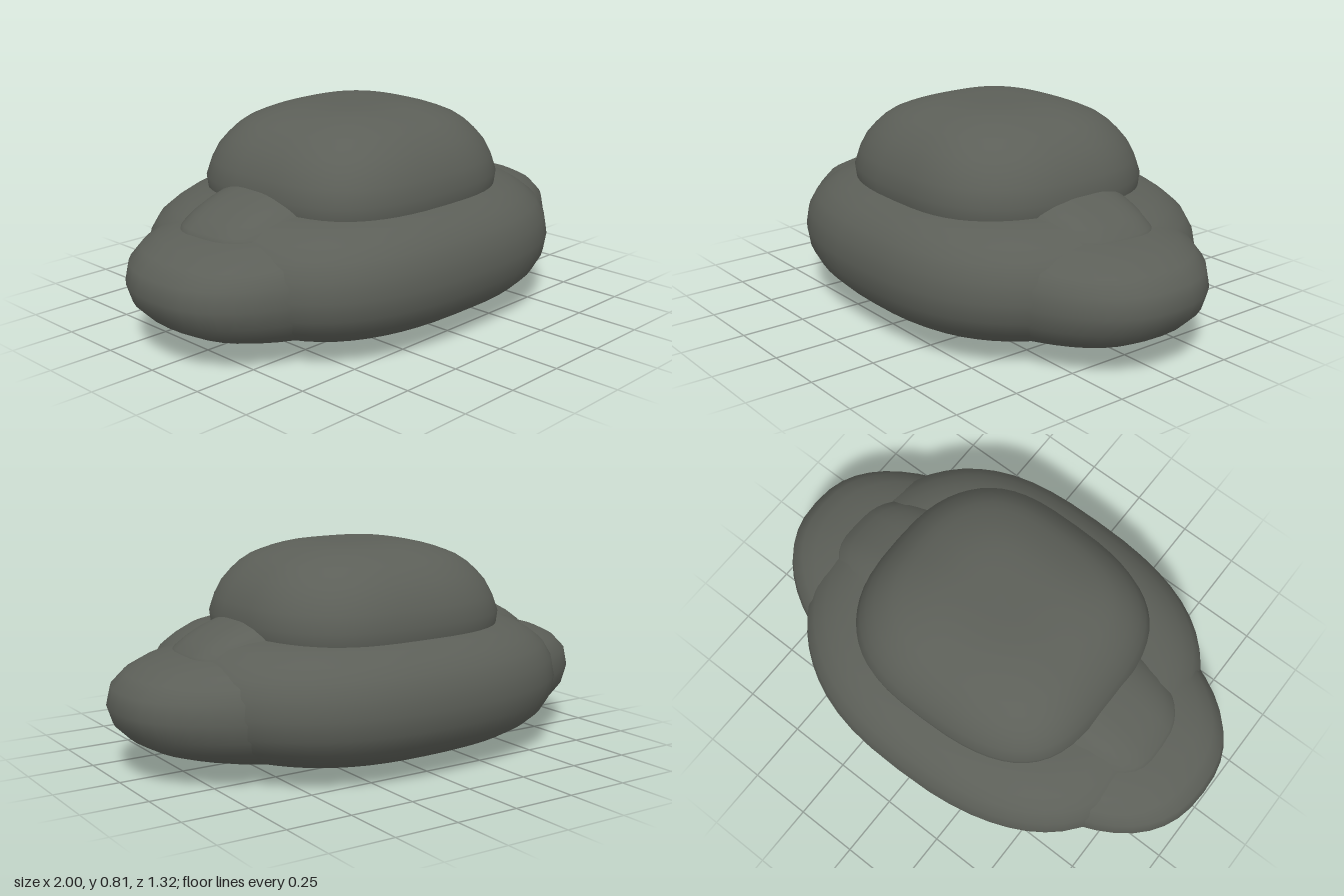
import * as THREE from 'three';

const RINGS = 30;
const SIDES = 56;

// A worn stone: a side profile [radius 0..1, height] swept round a superelliptic plan.
function stone(name, material, { a, b, n, x = 0, wobble = 0.006, phase = 0, profile }) {
  const curve = new THREE.SplineCurve(profile.map(p => new THREE.Vector2(p[0], p[1])));
  const positions = [];
  const index = [];
  for (let i = 0; i <= RINGS; i++) {
    const p = curve.getPointAt(i / RINGS);
    const r = Math.max(p.x, 0.001);
    for (let j = 0; j < SIDES; j++) {
      const t = (j / SIDES) * Math.PI * 2;
      const c = Math.cos(t), s = Math.sin(t);
      const k = r * (1 + wobble * Math.sin(5 * t + phase + i * 0.08));
      positions.push(
        x + a * k * Math.sign(c) * Math.abs(c) ** (2 / n),
        p.y,
        b * k * Math.sign(s) * Math.abs(s) ** (2 / n)
      );
      if (i < RINGS) {
        const q = i * SIDES + j;
        const next = i * SIDES + (j + 1) % SIDES;
        index.push(q, q + SIDES, next, next, q + SIDES, next + SIDES);
      }
    }
  }
  const geometry = new THREE.BufferGeometry();
  geometry.setAttribute('position', new THREE.Float32BufferAttribute(positions, 3));
  geometry.setIndex(index);
  geometry.computeVertexNormals();
  const mesh = new THREE.Mesh(geometry, material);
  mesh.name = name;
  return mesh;
}

export function createModel() {
  const group = new THREE.Group();
  group.name = 'stackedStones';
  const rock = new THREE.MeshStandardMaterial({ color: 0x5c5f58 });
  rock.name = 'dark grey stone';

  group.add(
    // Broad base stone, deepest front to back
    stone('baseStone', rock, {
      a: 0.8, b: 0.66, n: 2.5, phase: 1,
      profile: [[0, 0], [0.3, 0.008], [0.55, 0.028], [0.76, 0.06], [0.91, 0.12], [0.985, 0.2],
        [1, 0.28], [0.97, 0.37], [0.9, 0.43], [0.76, 0.488], [0.45, 0.51], [0, 0.515]],
    }),
    // Long low stone whose ends stick out on both sides
    stone('longStone', rock, {
      a: 1, b: 0.5, n: 2.4, wobble: 0.004,
      profile: [[0, 0], [0.35, 0.012], [0.6, 0.035], [0.8, 0.08], [0.91, 0.125], [0.98, 0.19],
        [1, 0.26], [0.98, 0.33], [0.92, 0.38], [0.8, 0.425], [0.6, 0.455], [0, 0.475]],
    }),
    // Narrow stone bridging the base and the dome
    stone('ridgeStone', rock, {
      a: 0.785, b: 0.3, n: 3, x: -0.01, phase: 2,
      profile: [[0, 0.25], [0.7, 0.26], [0.93, 0.32], [1, 0.39], [0.97, 0.435], [0.85, 0.5],
        [0.68, 0.55], [0.5, 0.575], [0, 0.59]],
    }),
    // Rounded dome on top
    stone('domeStone', rock, {
      a: 0.53, b: 0.49, n: 2.8, phase: 0.5,
      profile: [[0, 0.38], [0.8, 0.39], [0.95, 0.43], [1, 0.51], [0.99, 0.56], [0.93, 0.64],
        [0.84, 0.7], [0.7, 0.757], [0.4, 0.806], [0, 0.815]],
    })
  );
  return group;
}
